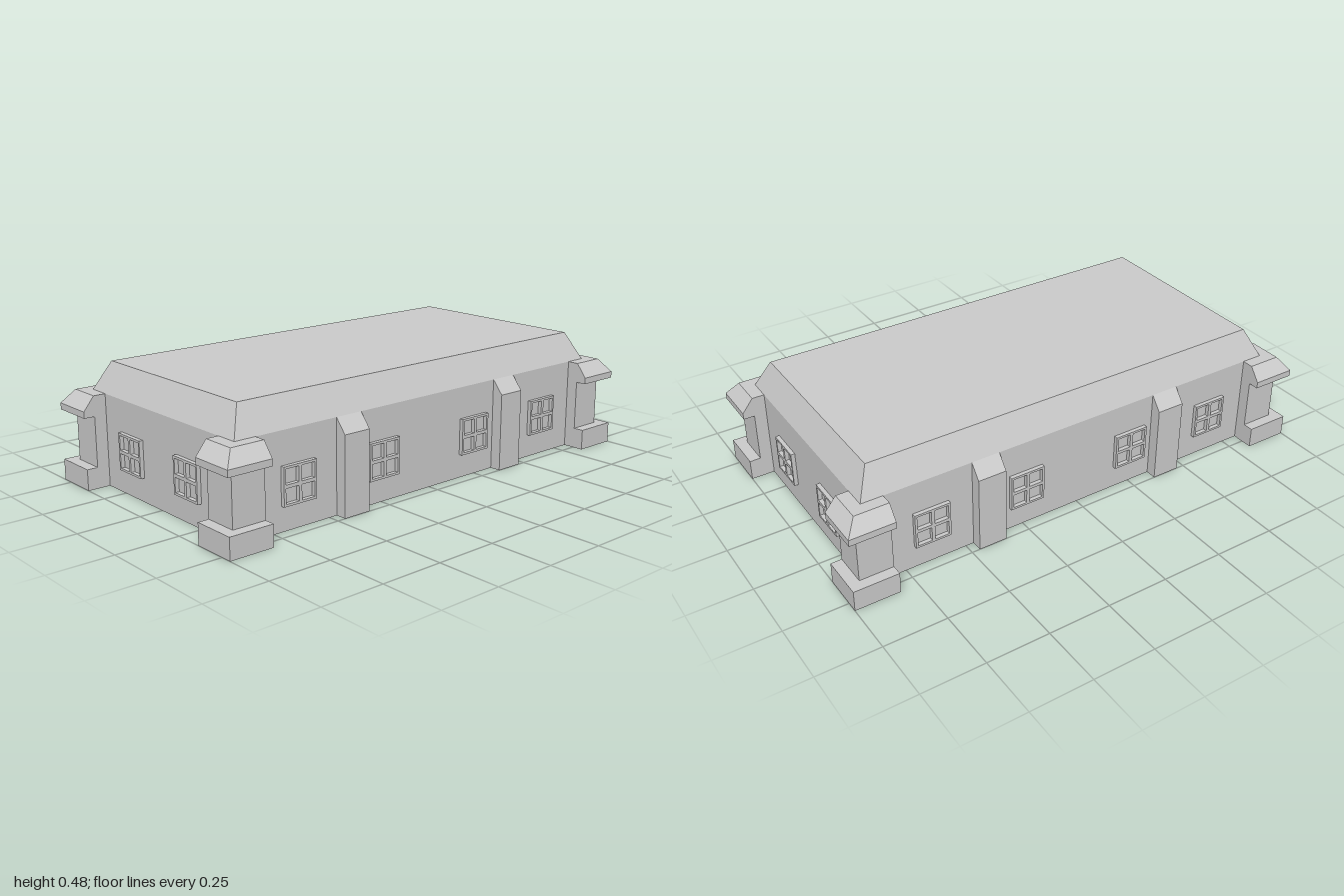
import * as THREE from 'three';

const material = new THREE.MeshStandardMaterial({ color: 0xcccccc, flatShading: true, side: THREE.DoubleSide });

// Wall and roof extents (half sizes), corner pier inner edges, buttress centre and half width
const WX = 0.907, WZ = 0.455, PIER_X = 0.82, PIER_Z = 0.366, BUT_X = 0.409, BUT_HALF = 0.058;

// Plan outline of the building at height y: wall at (wx, wz), buttresses out to bz, corner piers out to (cx, cz)
function outline(y, cx, cz, bz, wx = WX, wz = WZ) {
  const half = [];
  for (const x of [-BUT_X, BUT_X]) {
    half.push([x - BUT_HALF, wz], [x - BUT_HALF, bz], [x + BUT_HALF, bz], [x + BUT_HALF, wz]);
  }
  half.push([PIER_X, wz], [PIER_X, cz], [cx, cz], [cx, PIER_Z], [wx, PIER_Z]);
  half.push([wx, -PIER_Z], [cx, -PIER_Z], [cx, -cz], [PIER_X, -cz], [PIER_X, -wz]);
  const all = [...half, ...half.map(([x, z]) => [-x, -z])];
  return all.map(([x, z]) => new THREE.Vector3(x, y, z));
}

// Skin between successive outlines, leaving out triangles with no area
function loft(rings, name) {
  const pos = [];
  const tri = new THREE.Triangle();
  const add = (a, b, c) => {
    if (tri.set(a, b, c).getArea() > 1e-7) for (const p of [a, b, c]) pos.push(p.x, p.y, p.z);
  };
  for (let k = 0; k + 1 < rings.length; k++) {
    const lo = rings[k], hi = rings[k + 1];
    for (let i = 0; i < lo.length; i++) {
      const j = (i + 1) % lo.length;
      add(lo[i], lo[j], hi[j]);
      add(lo[i], hi[j], hi[i]);
    }
  }
  const geometry = new THREE.BufferGeometry();
  geometry.setAttribute('position', new THREE.Float32BufferAttribute(pos, 3));
  geometry.computeVertexNormals();
  const mesh = new THREE.Mesh(geometry, material);
  mesh.name = name;
  return mesh;
}

function rectangle(target, x, y, w, h) {
  target.moveTo(x, y);
  target.lineTo(x + w, y);
  target.lineTo(x + w, y + h);
  target.lineTo(x, y + h);
  target.closePath();
  return target;
}

// Window frame with four panes open to the wall behind
function windowGeometry() {
  const size = 0.145, border = 0.009, bar = 0.013, pane = (size - 2 * border - bar) / 2;
  const frame = rectangle(new THREE.Shape(), -size / 2, -size / 2, size, size);
  for (const x of [-bar / 2 - pane, bar / 2]) {
    for (const y of [-bar / 2 - pane, bar / 2]) {
      frame.holes.push(rectangle(new THREE.Path(), x, y, pane, pane));
    }
  }
  return new THREE.ExtrudeGeometry(frame, { depth: 0.016, bevelEnabled: false });
}

export function createModel() {
  const model = new THREE.Group();
  model.name = 'house';

  // Walls with their buttresses and corner piers: plinth, shaft, cap, sloping top
  const eaves = outline(0.365, WX, WZ, WZ);
  model.add(loft([
    outline(0, 1, 0.545, 0.5),
    outline(0.084, 1, 0.545, 0.5),
    outline(0.084, 0.956, 0.502, 0.5),
    outline(0.284, 0.956, 0.502, 0.5),
    outline(0.284, 1, 0.545, 0.5),
    outline(0.31, 1, 0.545, 0.5),
    outline(0.365, 0.956, 0.502, WZ),
    eaves,
  ], 'walls'));

  // Sloping roof edge and flat top
  const RX = 0.853, RZ = 0.4, top = 0.478;
  model.add(loft([eaves, outline(top, RX, RZ, RZ, RX, RZ)], 'roofSlopes'));
  const deck = new THREE.Mesh(new THREE.PlaneGeometry(RX * 2, RZ * 2).rotateX(-Math.PI / 2), material);
  deck.position.y = top;
  deck.name = 'roofTop';
  model.add(deck);

  // Windows on all four walls
  const geometry = windowGeometry();
  const addWindow = (x, z, turn, name) => {
    const pane = new THREE.Mesh(geometry, material);
    pane.position.set(x, 0.167, z);
    pane.rotation.y = turn;
    pane.name = name;
    model.add(pane);
  };
  for (const x of [-0.644, -0.246, 0.236, 0.64]) {
    addWindow(x, WZ, 0, 'frontWindow');
    addWindow(x, -WZ, Math.PI, 'backWindow');
  }
  for (const z of [-0.184, 0.181]) {
    addWindow(WX, z, Math.PI / 2, 'leftWindow');
    addWindow(-WX, z, -Math.PI / 2, 'rightWindow');
  }
  return model;
}
